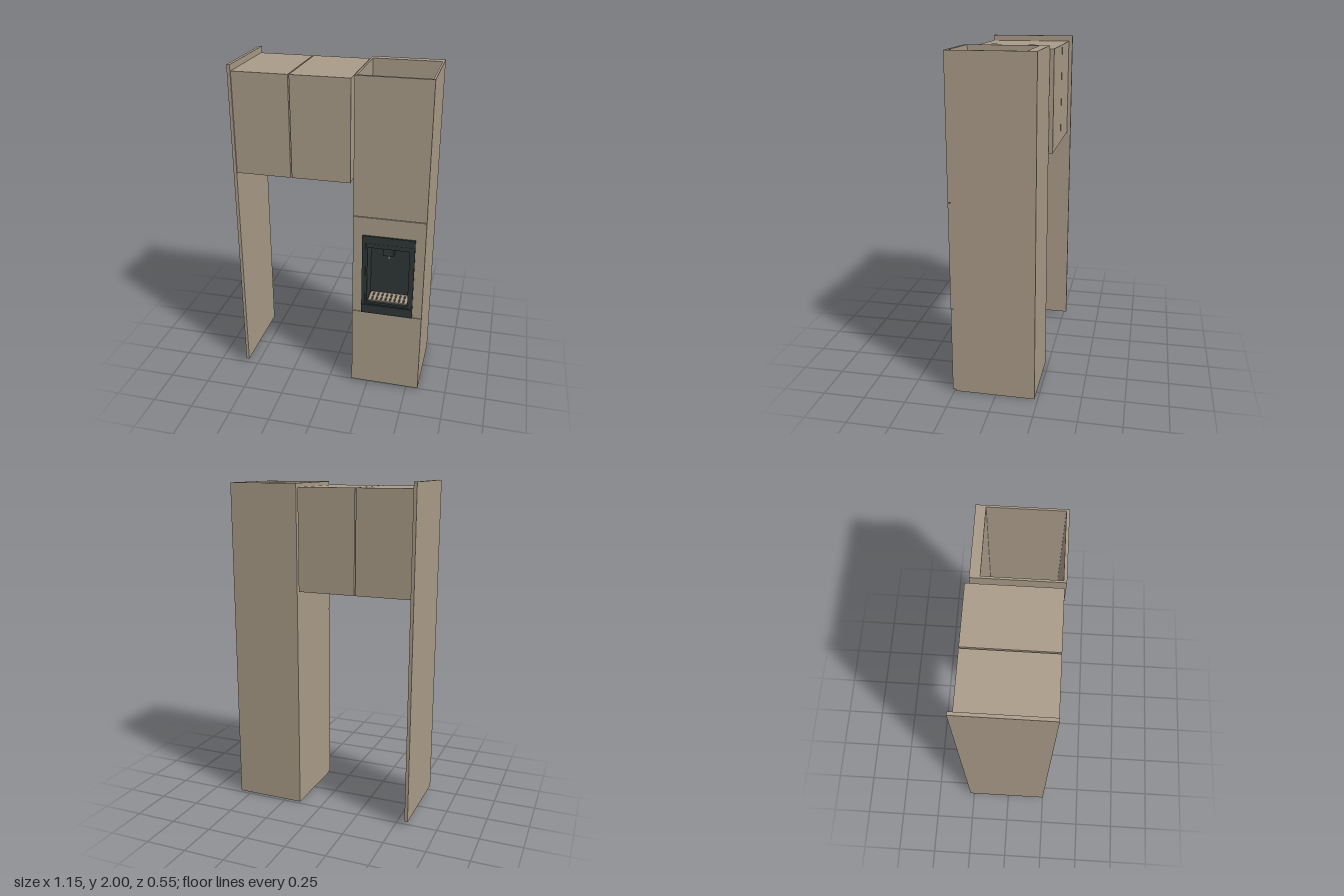
import * as THREE from 'three';

export function createModel() {
  const root = new THREE.Group();
  const wood = new THREE.MeshStandardMaterial({ color: 0xa99b88 });
  wood.name = 'taupe panel';
  const dark = new THREE.MeshStandardMaterial({ color: 0x2d3635 });
  dark.name = 'dark plastic';

  const add = (parent, name, geometry, material) => {
    const mesh = new THREE.Mesh(geometry, material);
    mesh.name = name;
    parent.add(mesh);
    return mesh;
  };
  // Box given by its limits on each axis
  const box = (parent, name, [x0, x1], [y0, y1], [z0, z1], material = wood) => {
    const mesh = add(parent, name, new THREE.BoxGeometry(x1 - x0, y1 - y0, z1 - z0), material);
    mesh.position.set((x0 + x1) / 2, (y0 + y1) / 2, (z0 + z1) / 2);
    return mesh;
  };
  const rect = (path, [x0, x1], [y0, y1]) =>
    path.moveTo(x0, y0).lineTo(x1, y0).lineTo(x1, y1).lineTo(x0, y1).closePath();
  // Upright plate with a rectangular opening
  const frame = (parent, name, xs, ys, holeXs, holeYs, [z0, z1], material) => {
    const shape = rect(new THREE.Shape(), xs, ys);
    shape.holes.push(rect(new THREE.Path(), holeXs, holeYs));
    const geometry = new THREE.ExtrudeGeometry(shape, { depth: z1 - z0, bevelEnabled: false });
    add(parent, name, geometry, material).position.z = z0;
  };
  const group = (name) => {
    const g = new THREE.Group();
    g.name = name;
    root.add(g);
    return g;
  };

  // Free-standing end panel
  box(root, 'endPanel', [-0.577, -0.558], [0.03, 2], [-0.275, 0.25]);

  // Pair of wall cabinets
  const cabinets = group('wallCabinets');
  box(cabinets, 'outerCabinet', [-0.555, -0.226], [1.365, 1.965], [-0.252, 0.25]);
  box(cabinets, 'innerCabinet', [-0.219, 0.127], [1.365, 1.965], [-0.252, 0.25]);

  // Tall housing, open at top and bottom
  const tower = group('tallHousing');
  const TX = [0.148, 0.575];
  box(tower, 'rightSide', [0.148, 0.16], [0, 1.985], [-0.23, 0.243]);
  box(tower, 'leftSide', [0.563, 0.575], [0, 1.985], [-0.23, 0.243]);
  box(tower, 'back', [0.16, 0.563], [0, 1.985], [-0.23, -0.175]);
  const FZ = [0.243, 0.26];
  box(tower, 'upperDoor', TX, [1.169, 1.985], FZ);
  box(tower, 'lowerDoor', TX, [0.01, 0.528], FZ);
  frame(tower, 'middlePanel', TX, [0.531, 1.165], [0.226, 0.496], [0.585, 1.002], FZ, wood);

  // Dispenser: stepped surround
  const dispenser = group('dispenser');
  const BX = [0.205, 0.517];
  frame(dispenser, 'surround', BX, [0.532, 1.053], [0.226, 0.496], [0.593, 1.002], [0.26, 0.268], dark);
  box(dispenser, 'upperTrim', BX, [1.006, 1.053], [0.268, 0.272], dark);
  box(dispenser, 'lowerTrim', BX, [0.532, 0.588], [0.268, 0.272], dark);
  frame(dispenser, 'innerBezel', [0.226, 0.496], [0.59, 1.002], [0.237, 0.485], [0.606, 0.975],
    [0.25, 0.263], dark);

  // Recess walls, rounded at the back corners
  const left = 0.226, right = 0.496, backZ = 0.13, frontZ = 0.25, t = 0.01, r = 0.016;
  const plan = new THREE.Shape();
  plan.moveTo(left, frontZ).lineTo(left, backZ + r);
  plan.quadraticCurveTo(left, backZ, left + r, backZ).lineTo(right - r, backZ);
  plan.quadraticCurveTo(right, backZ, right, backZ + r).lineTo(right, frontZ);
  plan.lineTo(right - t, frontZ).lineTo(right - t, backZ + t);
  plan.lineTo(left + t, backZ + t).lineTo(left + t, frontZ).closePath();
  const walls = new THREE.ExtrudeGeometry(plan, { depth: 0.412, bevelEnabled: false });
  add(dispenser, 'recessWalls', walls.rotateX(Math.PI / 2), dark).position.y = 1;
  box(dispenser, 'recessCeiling', [left + t, right - t], [0.985, 1], [backZ + t, frontZ], dark);
  box(dispenser, 'recessFloor', [left + t, right - t], [0.588, 0.605], [backZ + t, frontZ], dark);

  // Spout under its housing
  box(dispenser, 'spoutHousing', [0.326, 0.392], [0.925, 0.968], [0.2, 0.25], dark);
  box(dispenser, 'spoutMount', [0.34, 0.378], [0.968, 0.986], [0.2, 0.24], dark);
  const spout = add(dispenser, 'spout', new THREE.CylinderGeometry(0.007, 0.007, 0.032, 16), wood);
  spout.position.set(0.359, 0.911, 0.225);

  // Drip grille: slats held by cross rails
  const grille = new THREE.Group();
  grille.name = 'dripGrille';
  dispenser.add(grille);
  const GX = [0.242, 0.48], GY = [0.605, 0.613], slats = 9, w = 0.018;
  for (let i = 0; i < slats; i++) {
    const x = GX[0] + (i / (slats - 1)) * (GX[1] - GX[0] - w);
    box(grille, 'slat', [x, x + w], GY, [0.146, 0.246]);
  }
  for (const z of [0.146, 0.19, 0.236]) {
    box(grille, 'rail', GX, [0.605, 0.6125], [z, z + 0.01]);
  }
  return root;
}
